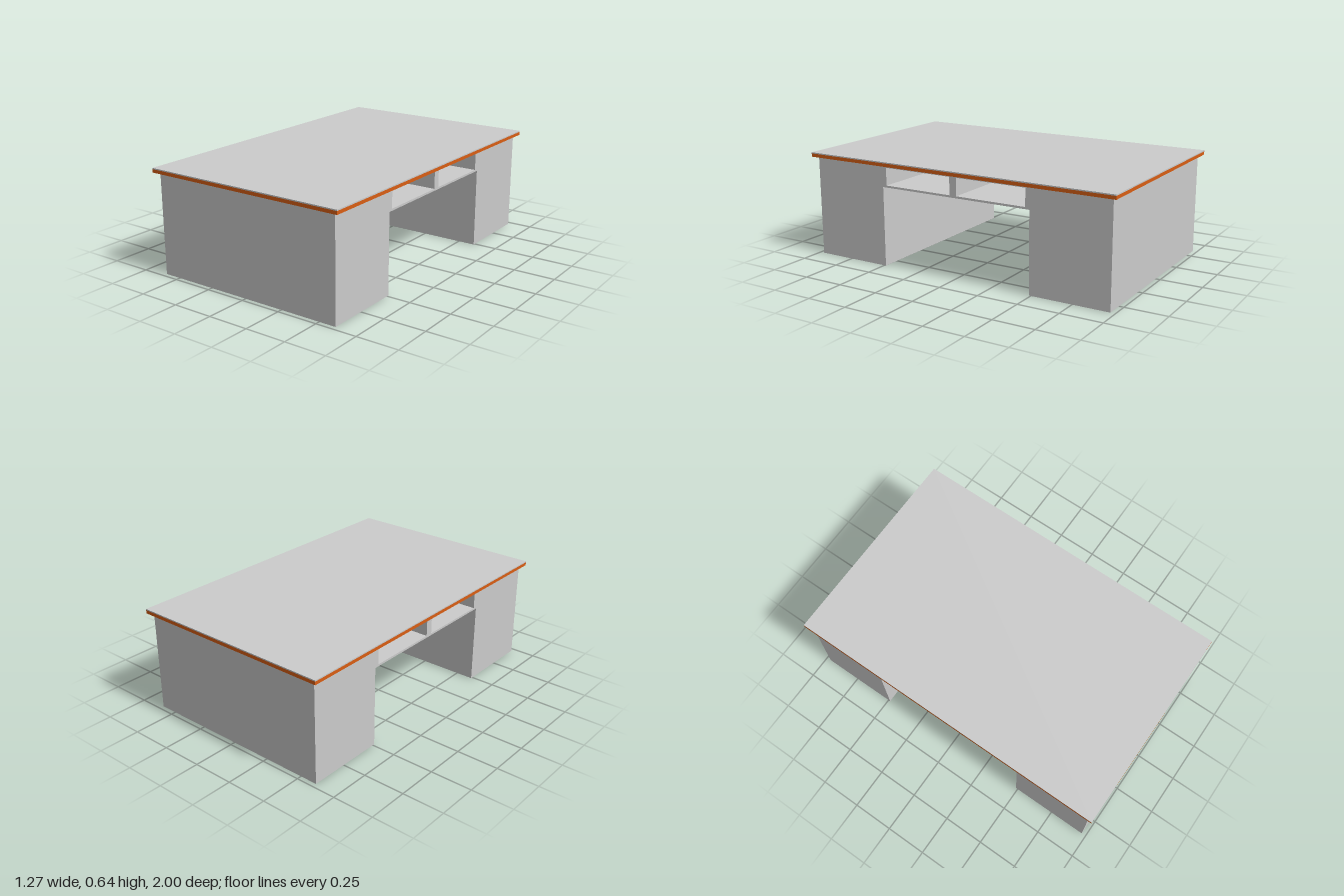
import * as THREE from 'three';

const grey = new THREE.MeshStandardMaterial({ color: 0xcccccc });
const orange = new THREE.MeshStandardMaterial({ color: 0xd95f14 });

// Overall measurements
const topX = 0.637, topZ = 1.0;              // half sizes of the desktop
const bodyX = 0.605, bodyZ = 0.972;          // half sizes of the body
const kneeZ = 0.488, kneeY = 0.48;           // kneehole half width and height
const trimY = 0.61, slabY = 0.63, topY = 0.637;
const slot = { inner: 0.022, outer: 0.463, low: 0.492, high: 0.597 };

export function createModel() {
  const desk = new THREE.Group();
  desk.name = 'desk';

  const box = (name, x0, x1, y0, y1, z0, z1, material = grey) => {
    const mesh = new THREE.Mesh(new THREE.BoxGeometry(x1 - x0, y1 - y0, z1 - z0), material);
    mesh.position.set((x0 + x1) / 2, (y0 + y1) / 2, (z0 + z1) / 2);
    mesh.name = name;
    desk.add(mesh);
  };

  // Body: two pedestals joined by a bridge, with two open drawer slots
  const profile = new THREE.Shape([
    [-bodyZ, 0], [-kneeZ, 0], [-kneeZ, kneeY], [kneeZ, kneeY],
    [kneeZ, 0], [bodyZ, 0], [bodyZ, trimY], [-bodyZ, trimY],
  ].map(([a, b]) => new THREE.Vector2(a, b)));
  for (const s of [-1, 1]) {
    profile.holes.push(new THREE.Path([
      [slot.inner, slot.low], [slot.inner, slot.high],
      [slot.outer, slot.high], [slot.outer, slot.low],
    ].map(([a, b]) => new THREE.Vector2(s * a, b))));
  }
  const bodyGeometry = new THREE.ExtrudeGeometry(profile, { depth: 2 * bodyX, bevelEnabled: false });
  bodyGeometry.translate(0, 0, -bodyX).rotateY(Math.PI / 2);
  const body = new THREE.Mesh(bodyGeometry, grey);
  body.name = 'pedestalsAndBridge';
  desk.add(body);

  // Walls closing the slots halfway through
  for (const s of [-1, 1]) {
    const mid = s * (slot.inner + slot.outer) / 2, half = (slot.outer - slot.inner) / 2;
    box('slotBackWall', -0.008, 0.008, slot.low, slot.high, mid - half, mid + half);
  }

  // Desktop: thin top sheet over a core edged with coloured trim
  const t = 0.004;
  box('topSheet', -topX, topX, slabY, topY, -topZ, topZ);
  box('topCore', -topX + t, topX - t, trimY, slabY, -topZ + t, topZ - t);
  for (const s of [-1, 1]) {
    const x = s * (topX - t / 2), z = s * (topZ - t / 2);
    box('sideTrim', x - t / 2, x + t / 2, trimY, slabY, -topZ, topZ, orange);
    box('endTrim', -topX + t, topX - t, trimY, slabY, z - t / 2, z + t / 2, orange);
  }

  return desk;
}
